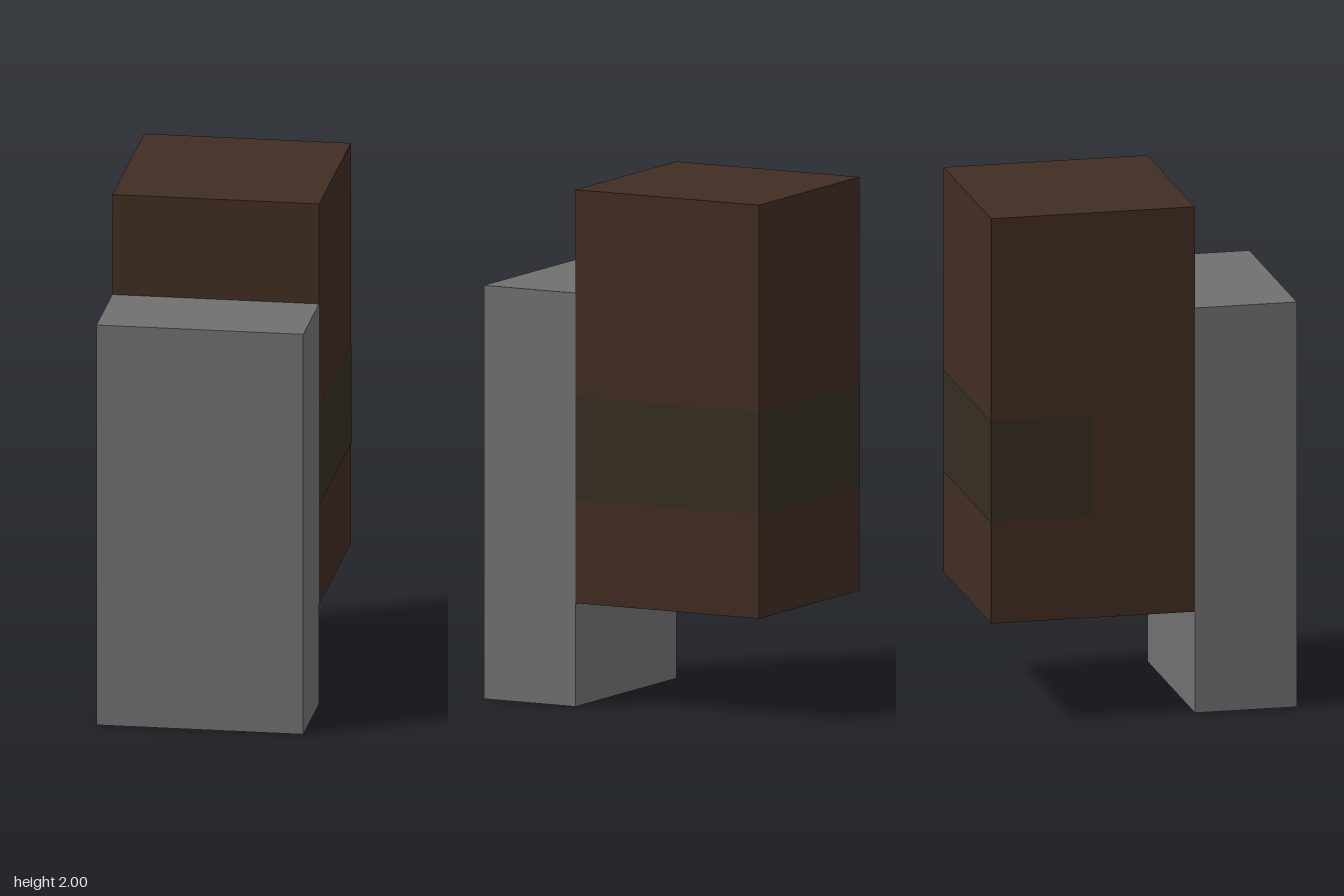
import * as THREE from 'three';

export function createModel() {
  const brown = new THREE.MeshStandardMaterial({ name: 'darkBrown', color: 0x412c22 });
  const olive = new THREE.MeshStandardMaterial({ name: 'darkOlive', color: 0x352d22 });
  const gray = new THREE.MeshStandardMaterial({ name: 'gray', color: 0x707070 });
  const model = new THREE.Group();
  model.name = 'blockModel';

  const box = (name, size, pos, material) => {
    const mesh = new THREE.Mesh(new THREE.BoxGeometry(...size), material);
    mesh.name = name;
    mesh.position.set(...pos);
    model.add(mesh);
  };

  // Tall block raised behind the slab
  box('rearBlock', [0.8, 1.6, 0.8], [0, 1.2, -0.2], brown);
  // Slab standing at the front
  box('frontSlab', [0.8, 1.6, 0.4], [0, 0.8, 0.4], gray);

  // Painted band: full on the left and back, half way along the right
  const band = (name, width, pos, turn) => {
    const mesh = new THREE.Mesh(new THREE.PlaneGeometry(width, 0.4), olive);
    mesh.name = name;
    mesh.position.set(...pos);
    mesh.rotation.y = turn;
    model.add(mesh);
  };
  const out = 0.002;
  band('leftBand', 0.8, [0.4 + out, 1, -0.2], Math.PI / 2);
  band('backBand', 0.8, [0, 1, -0.6 - out], Math.PI);
  band('rightBand', 0.4, [-0.4 - out, 1, -0.4], -Math.PI / 2);

  return model;
}
